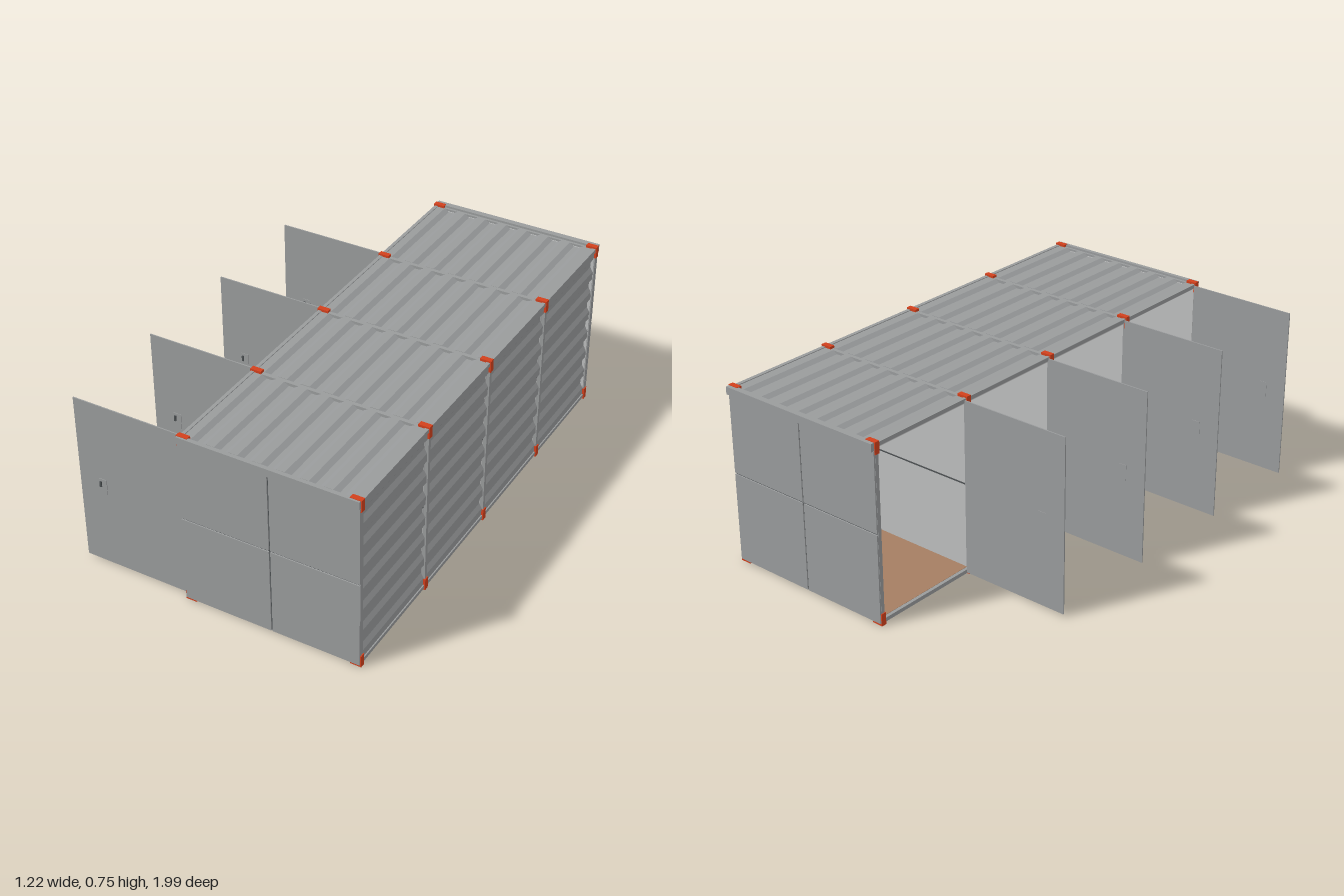
import * as THREE from 'three';

export function createModel() {
  const root = new THREE.Group();
  const mat = (name, color, side = THREE.FrontSide) => {
    const m = new THREE.MeshStandardMaterial({ color, side });
    m.name = name;
    return m;
  };
  const steel = mat('grey steel', 0x999b9c);
  const lining = mat('pale lining', 0xbcbdbd);
  const seam = mat('dark seam', 0x4c5052);
  const orange = mat('orange bracket', 0xd2401c);
  const wood = mat('wood floor', 0xa57e62);

  // Box given by its lower and upper limits
  const box = (name, m, x0, x1, y0, y1, z0, z1, parent = root) => {
    const mesh = new THREE.Mesh(new THREE.BoxGeometry(x1 - x0, y1 - y0, z1 - z0), m);
    mesh.position.set((x0 + x1) / 2, (y0 + y1) / 2, (z0 + z1) / 2);
    mesh.name = name;
    parent.add(mesh);
    return mesh;
  };

  const L = -0.14, R = 0.607, MID = 0.237;
  const posts = [-0.973, -0.487, 0, 0.487, 0.973];

  // Trapezoid sheet: ribs run along z, raised towards +y
  const ribbed = (width, length) => {
    const pitch = 0.097, depth = 0.012, t = 0.004;
    const pts = [];
    for (let u = 0; u < width - 0.06; u += pitch) {
      pts.push([u, 0], [u + 0.035, 0], [u + 0.055, -depth], [u + 0.077, -depth]);
    }
    const n = Math.floor(width / pitch) * pitch;
    const top = pts.filter(([u]) => u < n - 0.001);
    top.push([n, 0], [width, 0]);
    const under = top.map(([u, v]) => [u, v - t]).reverse();
    const shape = new THREE.Shape([...top, ...under].map(([u, v]) => new THREE.Vector2(u, v)));
    return new THREE.ExtrudeGeometry(shape, { depth: length, bevelEnabled: false });
  };

  // Ribbed roof and side wall, one sheet per bay
  const bay = 0.487 - 0.018;
  const roofGeo = ribbed(0.722, bay), wallGeo = ribbed(0.715, bay);
  for (let i = 0; i < 4; i++) {
    const z = posts[i] + 0.009;
    const roof = new THREE.Mesh(roofGeo, steel);
    roof.name = 'roofSheet';
    roof.position.set(-0.128, 0.745, z);
    const wall = new THREE.Mesh(wallGeo, steel);
    wall.name = 'sideWallSheet';
    wall.rotation.z = -Math.PI / 2;
    wall.position.set(0.602, 0.735, z);
    root.add(roof, wall);
    box('ceilingLining', lining, L + 0.01, 0.585, 0.722, 0.726, z, z + bay);
    box('wallLining', lining, 0.58, 0.584, 0.02, 0.725, z, z + bay);
  }

  // Long rails
  for (const [x0, x1] of [[L, L + 0.014], [R - 0.016, R]]) {
    box('bottomRail', steel, x0, x1, 0.008, 0.024, -0.98, 0.98);
    box('topRail', steel, x0, x1, 0.732, 0.748, -0.98, 0.98);
  }
  box('floor', wood, L + 0.014, R - 0.016, 0.013, 0.025, -0.97, 0.97);

  // Posts, cross beams and corner brackets
  for (const z of posts) {
    for (const s of [-1, 1]) {
      const edge = s < 0 ? L : R;
      const span = (a, b) => [edge - s * a, edge - s * b].sort((p, q) => p - q);
      box('post', steel, ...span(0, 0.014), 0.01, 0.745, z - 0.008, z + 0.008);
      const bracket = new THREE.Group();
      bracket.name = 'cornerBracket';
      root.add(bracket);
      const w = 0.011;
      box('bracketLower', orange, ...span(-0.004, 0.006), 0.002, 0.051, z - w, z + w, bracket);
      box('bracketFoot', orange, ...span(-0.004, 0.043), 0, 0.01, z - w, z + w, bracket);
      box('bracketUpper', orange, ...span(-0.004, 0.006), 0.705, 0.755, z - w, z + w, bracket);
      box('bracketCap', orange, ...span(-0.004, 0.043), 0.745, 0.755, z - w, z + w, bracket);
    }
    box('bottomBeam', steel, L, R, 0.006, 0.022, z - 0.008, z + 0.008);
    box('topBeam', steel, L, R, 0.728, 0.744, z - 0.008, z + 0.008);
  }

  // Panelled end walls: four plates over a dark backing, with a header above
  for (const s of [-1, 1]) {
    const zs = (a, b) => [s * a, s * b].sort((p, q) => p - q);
    const end = new THREE.Group();
    end.name = s > 0 ? 'frontWall' : 'backWall';
    root.add(end);
    box('seamBacking', seam, L + 0.004, R - 0.004, 0.012, 0.74, ...zs(0.977, 0.983), end);
    box('innerLining', lining, L + 0.004, R - 0.004, 0.022, 0.735, ...zs(0.962, 0.976), end);
    for (const [x0, x1] of [[L, MID - 0.003], [MID + 0.003, R]]) {
      for (const [y0, y1] of [[0.01, 0.382], [0.388, 0.719]]) {
        box('endPanel', steel, x0, x1, y0, y1, ...zs(0.982, 0.988), end);
      }
    }
    box('header', steel, L, R, 0.721, 0.753, ...zs(0.975, s > 0 ? 0.992 : 1), end);
  }

  // Inner partitions with a seam at mid height
  for (const z of posts.slice(1, 4)) {
    box('partition', lining, L + 0.014, 0.59, 0.022, 0.73, z - 0.006, z + 0.006);
    box('partitionSeam', seam, L + 0.014, 0.59, 0.382, 0.388, z - 0.007, z + 0.007);
  }

  // Open doors, one per bay, hinged on the open side
  for (const z of [-0.505, -0.017, 0.472, 0.96]) {
    const door = new THREE.Group();
    door.name = 'door';
    root.add(door);
    box('doorLeaf', steel, -0.613, L, 0.01, 0.742, z - 0.0025, z + 0.0025, door);
    box('handlePlate', steel, -0.526, -0.491, 0.34, 0.407, z - 0.004, z + 0.005, door);
    box('handleGrip', seam, -0.521, -0.513, 0.372, 0.396, z + 0.005, z + 0.01, door);
  }

  return root;
}
